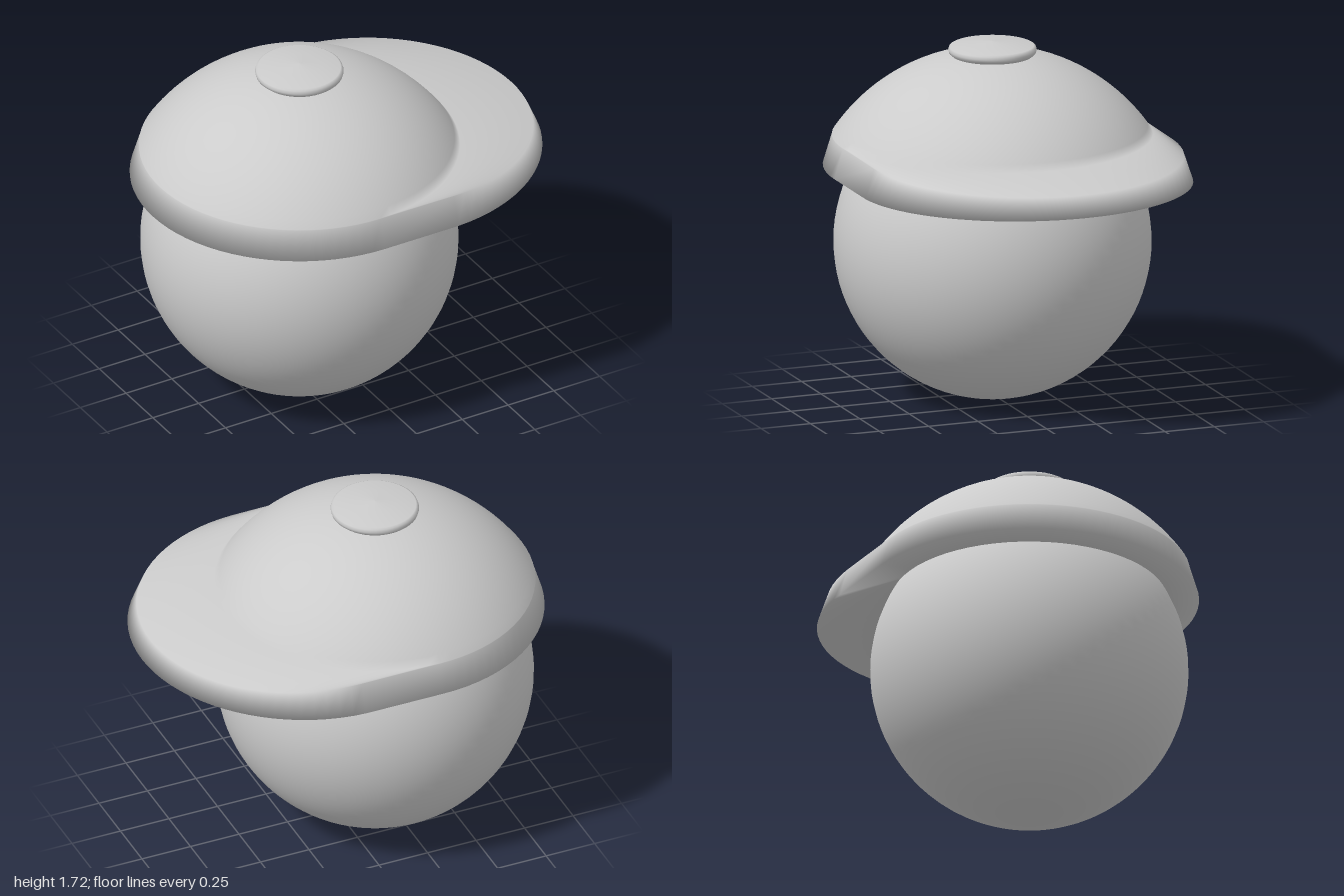
import * as THREE from 'three';
import { mergeVertices } from 'three/addons/utils/BufferGeometryUtils.js';

const AXIS_X = -0.2; // shared vertical axis of head, crown and button

// Columns around the cap: round back, two straight sides, round brim
function capColumns(half = 40) {
  const columns = [];
  for (let i = 0; i <= half; i++) columns.push({ a: -Math.PI / 2 + (Math.PI * i) / half, shift: 0.4 });
  for (let i = 0; i <= half; i++) columns.push({ a: Math.PI / 2 + (Math.PI * i) / half, shift: 0 });
  columns.push(columns[0]);
  return columns;
}

// Rows from the underside, over the flared rim and brim, up to the crown top
function capRows() {
  const rows = [
    { r: 0.62, y: 1.125, brim: 0, lift: 0 },
    { r: 0.8, y: 1.125, brim: 1, lift: 0.025 },
    { r: 0.757, y: 1.268, brim: 1, lift: -0.018 },
  ];
  const R = 0.91, centreY = 0.767, start = Math.asin(0.757 / R), steps = 20;
  for (let i = 0; i <= steps; i++) {
    const t = start * (1 - i / steps);
    rows.push({ r: R * Math.sin(t), y: centreY + R * Math.cos(t), brim: 0, lift: 0 });
  }
  return rows;
}

function capGeometry() {
  const columns = capColumns(), rows = capRows(), n = columns.length;
  const positions = [], index = [];
  rows.forEach((row, i) => columns.forEach(({ a, shift }, j) => {
    const forward = Math.max(0, Math.cos(a));
    positions.push(
      AXIS_X + row.brim * shift + row.r * Math.cos(a),
      row.y + row.lift * forward,
      row.r * Math.sin(a),
    );
    if (i < rows.length - 1 && j < n - 1) {
      const k = i * n + j;
      index.push(k, k + n, k + 1, k + 1, k + n, k + n + 1);
    }
  }));
  const geometry = new THREE.BufferGeometry();
  geometry.setAttribute('position', new THREE.Float32BufferAttribute(positions, 3));
  geometry.setIndex(index);
  const welded = mergeVertices(geometry, 1e-4);
  welded.computeVertexNormals();
  return welded;
}

export function createModel() {
  const model = new THREE.Group();
  model.name = 'cappedBall';
  const material = new THREE.MeshStandardMaterial({ color: 0xcccccc });
  const capMaterial = new THREE.MeshStandardMaterial({ color: 0xcccccc, side: THREE.DoubleSide });

  const add = (name, geometry, mat = material) => {
    const mesh = new THREE.Mesh(geometry, mat);
    mesh.name = name;
    model.add(mesh);
    return mesh;
  };

  // Round head
  add('head', new THREE.SphereGeometry(0.75, 64, 48)).position.set(AXIS_X, 0.753, 0);

  // Cap crown, flared band and brim in one skin
  add('cap', capGeometry(), capMaterial);

  // Flat button with a slightly peaked top
  const profile = [
    [0, 1.64], [0.19, 1.655], [0.205, 1.668], [0.209, 1.682],
    [0.205, 1.696], [0.195, 1.702], [0.1, 1.715], [0, 1.723],
  ].map(([r, y]) => new THREE.Vector2(r, y));
  add('button', new THREE.LatheGeometry(profile, 48)).position.x = AXIS_X;

  return model;
}
